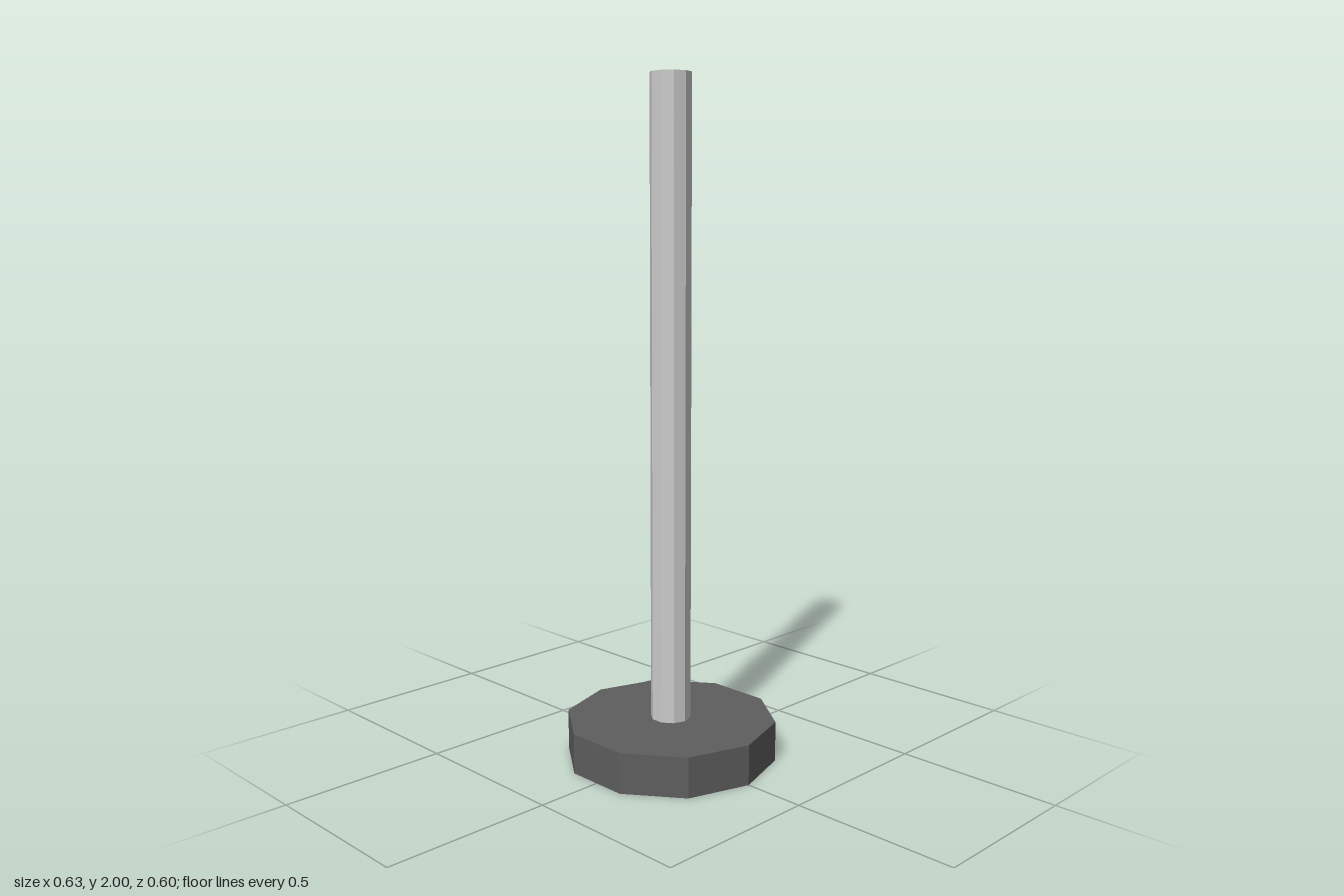
import * as THREE from 'three';

const SIDES = 10;

// Upright ten-sided prism with a corner pointing along +x
function prism(name, radius, bottom, top, color) {
  const geometry = new THREE.CylinderGeometry(radius, radius, top - bottom, SIDES, 1, false, Math.PI / 2);
  const material = new THREE.MeshStandardMaterial({ color, flatShading: true });
  const mesh = new THREE.Mesh(geometry, material);
  mesh.name = name;
  mesh.position.y = (bottom + top) / 2;
  return mesh;
}

export function createModel() {
  const model = new THREE.Group();
  model.name = 'postOnBase';

  // Heavy dark foot
  model.add(prism('base', 0.315, 0, 0.12, 0x5e5e5e));

  // Slim post standing on the foot
  model.add(prism('post', 0.06, 0.12, 2, 0xcccccc));

  return model;
}
